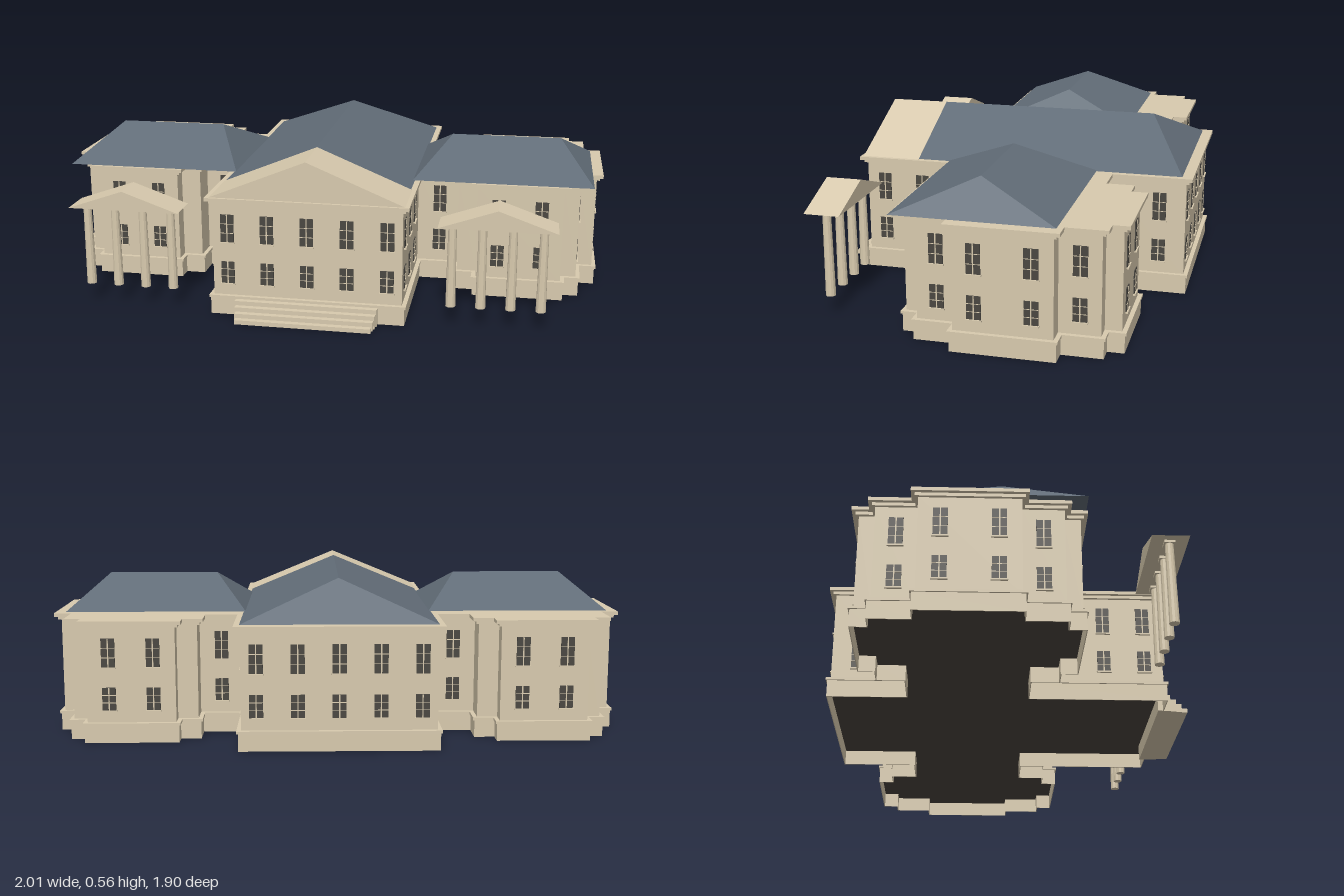
import * as THREE from 'three';

const mat = (color) => new THREE.MeshStandardMaterial({ color, flatShading: true, side: THREE.DoubleSide });
const stone = mat(0xd8caae), slate = mat(0x626d78), glass = mat(0x4a4741), dark = mat(0x4d4640);

export function createModel() {
  const model = new THREE.Group();
  model.name = 'mansion';
  const house = new THREE.Group();
  house.name = 'house';
  // The house stands turned on its plot
  house.rotation.y = -0.674;
  house.position.set(-0.004, 0, -0.003);
  model.add(house);

  const add = (name, geometry, material, parent = house) => {
    const m = new THREE.Mesh(geometry, material);
    m.name = name;
    parent.add(m);
    return m;
  };
  const box = (name, w, h, d, x, y, z, material = stone, parent = house) => {
    const m = add(name, new THREE.BoxGeometry(w, h, d), material, parent);
    m.position.set(x, y, z);
    return m;
  };

  // Footprint of main block, links and stepped wings, grown outwards by d
  const MAIN = 0.325, FRONT = 0.54, BACK = -0.61, MID = -0.137;
  function outline(d) {
    const quarter = [
      [MAIN + d, 0.2], [0.48 - d, 0.2], [0.48 - d, 0.295], [0.55 - d, 0.295], [0.55 - d, 0.35],
      [0.85 + d, 0.35], [0.85 + d, 0.295], [0.905 + d, 0.295], [0.905 + d, 0.16], [0.965 + d, 0.16],
    ];
    const half = [
      [MAIN + d, FRONT + d],
      ...quarter.map(([u, v]) => [u, MID + v + d]),
      ...quarter.slice().reverse().map(([u, v]) => [u, MID - v - d]),
      [MAIN + d, BACK - d],
    ];
    const all = [...half, ...half.slice().reverse().map(([u, v]) => [-u, v])];
    return all.map(([u, v]) => new THREE.Vector2(u, -v));
  }
  function storey(name, d, y0, y1, material = stone, holeD = null) {
    const shape = new THREE.Shape(outline(d));
    if (holeD !== null) shape.holes.push(new THREE.Path(outline(holeD)));
    const g = new THREE.ExtrudeGeometry(shape, { depth: y1 - y0, bevelEnabled: false });
    g.rotateX(-Math.PI / 2);
    g.translate(0, y0, 0);
    return add(name, g, material);
  }
  storey('plinth', 0.01, 0, 0.06, stone, 0.007);
  storey('floor', 0.006, 0.055, 0.06, dark);
  storey('plinthLedge', 0.015, 0.06, 0.069, stone, -0.01);
  storey('walls', 0, 0.061, 0.4);
  storey('corniceBand', 0.01, 0.395, 0.406);
  storey('cornice', 0.022, 0.406, 0.418);

  // Ridge roof over a rectangle: ridge point P lies near side A-B, Q near side C-D
  function roof(name, corners, ridge, y0, y1, material, parent = house) {
    const [A, B, C, D] = corners.map(([u, v]) => [u, y0, v]);
    const [P, Q] = ridge.map(([u, v]) => [u, y1, v]);
    const tris = [A, P, B, B, P, Q, B, Q, C, C, Q, D, D, Q, P, D, P, A, A, B, C, A, C, D];
    const g = new THREE.BufferGeometry();
    g.setAttribute('position', new THREE.Float32BufferAttribute(tris.flat(), 3));
    g.computeVertexNormals();
    return add(name, g, material, parent);
  }
  const rect = (u0, u1, v0, v1) => [[u0, v0], [u1, v0], [u1, v1], [u0, v1]];

  roof('mainRoof', rect(-0.328, 0.328, -0.595, 0.345), [[0, -0.446], [0, 0.345]], 0.419, 0.555, slate);
  roof('pediment', rect(-0.335, 0.335, 0.345, 0.552), [[0, 0.345], [0, 0.552]], 0.417, 0.555, stone);

  for (const s of [1, -1]) {
    // Hipped wing roof, ridge running sideways
    const [A, B, C, D] = rect(s * 0.635 - 0.314, s * 0.635 + 0.314, -0.3, 0.23);
    roof('wingRoof', [B, C, D, A],
      [[s * 0.635 + 0.196, -0.036], [s * 0.635 - 0.196, -0.036]], 0.42, 0.53, slate);

    // Free-standing portico: gabled top on four columns
    const portico = new THREE.Group();
    portico.name = 'portico';
    portico.position.set(s * 0.635, 0, 0.502);
    house.add(portico);
    roof('porticoGable', rect(-0.195, 0.195, -0.061, 0.061), [[0, -0.061], [0, 0.061]], 0.357, 0.425, stone, portico);
    for (let i = 0; i < 4; i++) {
      const x = (i - 1.5) * 0.1;
      const shaft = add('column', new THREE.CylinderGeometry(0.014, 0.017, 0.29, 12), stone, portico);
      shaft.position.set(x, 0.21, 0);
      box('columnCapital', 0.036, 0.008, 0.036, x, 0.353, 0, stone, portico);
    }
  }

  // Front steps
  for (let i = 0; i < 4; i++) {
    const front = 0.575 + i * 0.02, h = 0.06 - i * 0.015;
    box('step', 0.49 - i * 0.008, h, front - 0.53, 0, h / 2, (front + 0.53) / 2);
  }

  // Windows: a lower and a taller upper one at each bay
  function bay(u, v, angle) {
    const g = new THREE.Group();
    g.name = 'windowBay';
    g.position.set(u, 0, v);
    g.rotation.y = angle;
    house.add(g);
    for (const [y, h] of [[0.15, 0.078], [0.308, 0.098]]) {
      box('windowPane', 0.046, h, 0.006, 0, y, 0, glass, g);
      box('windowMullion', 0.004, h, 0.009, 0, y, 0, stone, g);
      for (const k of [-1, 1]) box('windowBar', 0.046, 0.002, 0.008, 0, y + k * h / 6, 0, stone, g);
      box('windowSill', 0.052, 0.005, 0.016, 0, y - h / 2 - 0.002, 0, stone, g);
    }
  }
  const H = Math.PI / 2;
  for (let i = -2; i <= 2; i++) {
    bay(i * 0.137, FRONT, 0);
    bay(i * 0.137, BACK, Math.PI);
  }
  const sideBays = [];
  for (const v of [0.476, 0.335, 0.19, -0.39, -0.52]) sideBays.push([MAIN, v, H]);
  for (const k of [1, -1]) {
    const a = k > 0 ? 0 : Math.PI;
    sideBays.push([0.405, MID + k * 0.2, a]);
    for (const u of [0.625, 0.775]) sideBays.push([u, MID + k * 0.35, a]);
    sideBays.push([0.965, MID + k * 0.09, H], [0.905, MID + k * 0.228, H]);
  }
  for (const [u, v, a] of sideBays) {
    bay(u, v, a);
    bay(-u, v, -a);
  }
  return model;
}
